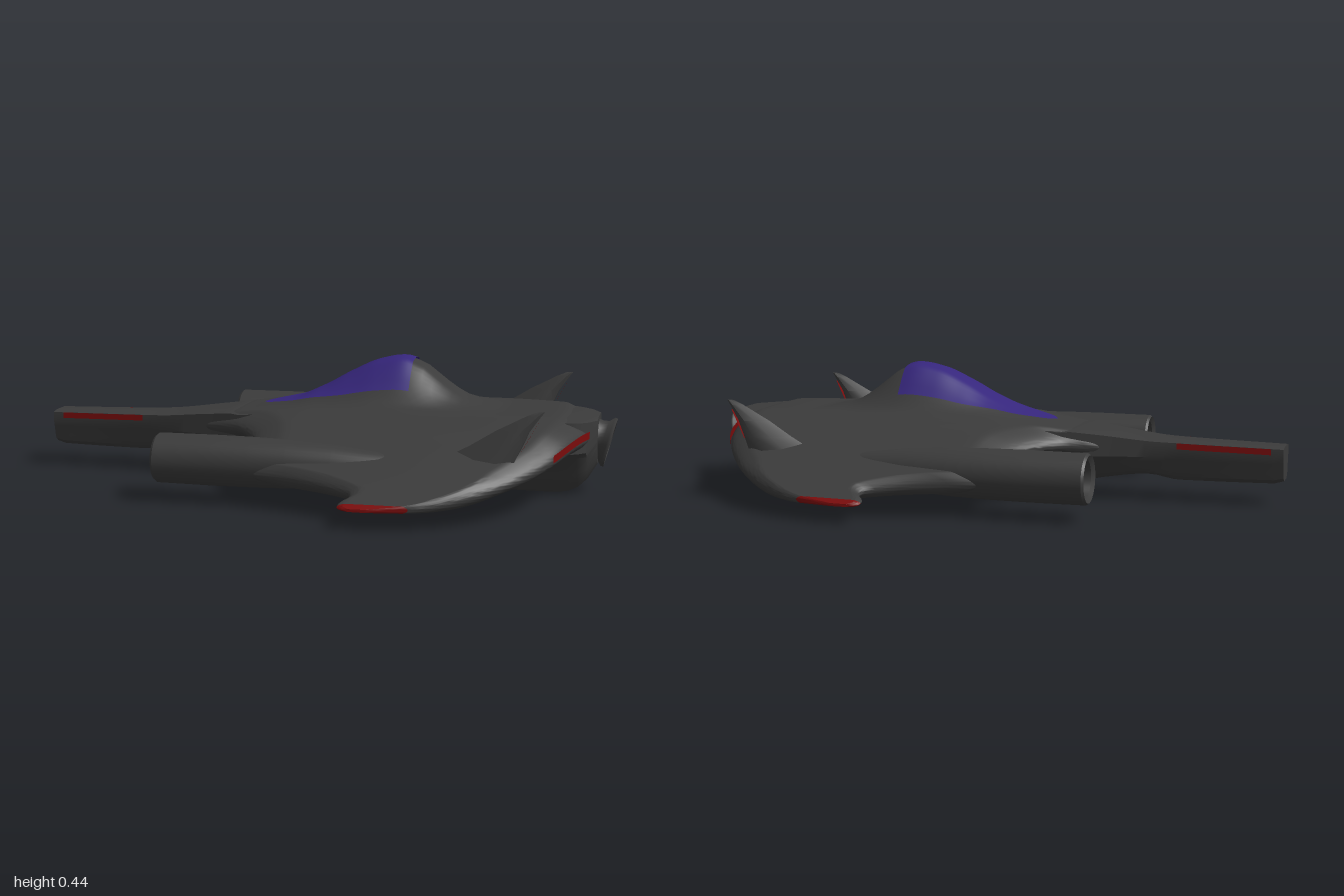
import * as THREE from 'three';
import { toCreasedNormals } from 'three/addons/utils/BufferGeometryUtils.js';

// Smooth monotone interpolation through [t, value] points
function curve(p) {
  const d = p.slice(1).map((q, i) => (q[1] - p[i][1]) / (q[0] - p[i][0]));
  const m = p.map((_, i) => {
    if (i === 0) return d[0];
    if (i === p.length - 1) return d[i - 1];
    return d[i - 1] * d[i] <= 0 ? 0 : (2 * d[i - 1] * d[i]) / (d[i - 1] + d[i]);
  });
  return (t) => {
    if (t <= p[0][0]) return p[0][1];
    for (let i = 0; i < d.length; i++) {
      if (t > p[i + 1][0]) continue;
      const h = p[i + 1][0] - p[i][0], s = (t - p[i][0]) / h, r = 1 - s;
      return (1 + 2 * s) * r * r * p[i][1] + s * r * r * h * m[i]
        + s * s * (3 - 2 * s) * p[i + 1][1] - s * s * r * h * m[i + 1];
    }
    return p[p.length - 1][1];
  };
}

// Closed, capped skin over rings of [x, y, z]; winding is set from the signed volume
function loft(rings, crease = 0.7) {
  const n = rings[0].length, idx = [], v = rings.flat();
  for (let i = 0; i < rings.length - 1; i++)
    for (let j = 0; j < n; j++) {
      const a = i * n + j, b = i * n + (j + 1) % n;
      idx.push(a, b, a + n, b, b + n, a + n);
    }
  const e = (rings.length - 1) * n;
  for (let j = 1; j < n - 1; j++) idx.push(0, j + 1, j, e, e + j, e + j + 1);
  let vol = 0;
  const [A, B, C] = [new THREE.Vector3(), new THREE.Vector3(), new THREE.Vector3()];
  for (let k = 0; k < idx.length; k += 3)
    vol += A.fromArray(v[idx[k]]).dot(B.fromArray(v[idx[k + 1]]).cross(C.fromArray(v[idx[k + 2]])));
  if (vol < 0) idx.reverse();
  const g = new THREE.BufferGeometry();
  g.setAttribute('position', new THREE.Float32BufferAttribute(v.flat(), 3));
  g.setIndex(idx);
  return toCreasedNormals(g, crease);
}

// Open sheet: f(u, v) gives [x, y, z]
function sheet(nu, nv, f) {
  const g = new THREE.PlaneGeometry(1, 1, nu, nv), p = g.attributes.position;
  for (let i = 0; i < p.count; i++) p.setXYZ(i, ...f(p.getX(i) + 0.5, p.getY(i) + 0.5));
  g.computeVertexNormals();
  return g;
}

const lerp = THREE.MathUtils.lerp;

// Height rules shared by hull, canopy and stripes
const base = curve([[-1, .2], [-.6, .21], [-.4, .23], [-.2, .25], [0, .268], [.6, .274], [.93, .265]]);
const hump = curve([[-.25, 0], [-.1, .015], [0, .052], [.1, .105], [.2, .148], [.28, .162], [.34, .145],
  [.4, .1], [.45, .06], [.5, .03], [.62, 0]]);
const humpAcross = curve([[0, 1], [.05, .95], [.09, .72], [.13, .38], [.17, .1], [.22, 0]]);
const droop = curve([[0, 0], [.15, 0], [.2, .005], [.3, .022], [.4, .06], [.5, .1], [.6, .142], [.7, .19], [.735, .207]]);
const topY = (x, z) => base(x) + hump(x) * humpAcross(Math.abs(z)) - droop(Math.abs(z));
const underY = curve([[0, .13], [.2, .135], [.35, .122], [.46, .095], [.6, .068], [.7, .055], [.735, .056]]);

// Outline of the wing seen from above
const leadX = curve([[0, -.43], [.11, -.42], [.125, -.4], [.16, -.3], [.2, -.25], [.26, -.2], [.32, -.165],
  [.38, -.145], [.46, -.13], [.535, -.12], [.56, 0], [.585, .1], [.62, .2], [.635, .235], [.66, .245],
  [.7, .22], [.72, .22], [.735, .25]]);
const trailX = curve([[0, .93], [.1, .925], [.2, .9], [.35, .85], [.5, .75], [.6, .65], [.66, .56], [.71, .45], [.735, .32]]);

// Wing section at one span station, rounded at both edges
function wingRing(z) {
  const a = Math.abs(z), x0 = leadX(a), x1 = trailX(a), n = 60, top = [], low = [];
  for (let i = 0; i <= n; i++) {
    const u = (1 - Math.cos(Math.PI * i / n)) / 2, x = lerp(x0, x1, u);
    const t = Math.sqrt(Math.min(1, u / .1, (1 - u) / .07));
    const T = topY(x, z), B = underY(a), m = (T + B) / 2;
    top.push([x, lerp(m, T, t), z]);
    if (i > 0 && i < n) low.unshift([x, lerp(m, B, t), z]);
  }
  return [...top, ...low];
}
const wing = (z0, z1, n) => loft(Array.from({ length: n + 1 }, (_, i) => wingRing(lerp(z0, z1, i / n))), 0.9);

export function createModel() {
  const model = new THREE.Group();
  const mat = (name, color, side = THREE.FrontSide) => {
    const m = new THREE.MeshStandardMaterial({ color, side });
    m.name = name;
    return m;
  };
  const hull = mat('dark grey hull', 0x3b3b3b, THREE.DoubleSide);
  const glass = mat('violet glass', 0x36267c, THREE.DoubleSide);
  const red = mat('deep red', 0x7a0c0c, THREE.DoubleSide);
  const glow = mat('exhaust red', 0x8c2e2e, THREE.DoubleSide);
  const add = (name, geo, m, parent = model) => {
    const mesh = new THREE.Mesh(geo, m);
    mesh.name = name;
    parent.add(mesh);
    return mesh;
  };

  // Blended wing with canopy hump
  add('wing', wing(-.713, .713, 110), hull);

  // Nose and keel: x, half width, shoulder height, keel half width, keel height
  const stations = [[-1, .062, .15, .046, .085], [-.97, .063, .15, .047, .076], [-.65, .08, .15, .05, .072],
    [-.55, .095, .142, .06, .088], [-.4, .125, .14, .065, .07], [-.25, .16, .135, .07, .035],
    [-.1, .18, .14, .08, .008], [0, .185, .14, .085, .002], [.8, .185, .14, .085, 0], [.86, .175, .14, .08, .008],
    [.91, .14, .14, .072, .045], [.945, .08, .17, .06, .1]];
  const at = [1, 2, 3, 4].map((k) => curve(stations.map((s) => [s[0], s[k]])));
  const bodyRings = [];
  for (let i = 0; i <= 64; i++) {
    const x = lerp(-1, .945, i / 64), [w, mid, kw, bot] = at.map((f) => f(x));
    const top = base(x) - (x > -.3 ? .006 : 0);
    const half = [[w * .55, top], [w, top - .006], [w, mid + .012], [lerp(w, kw, .3), mid - .006],
      [lerp(w, kw, .7), lerp(mid, bot, .55)], [kw, lerp(mid, bot, .82)], [kw * .65, bot]];
    bodyRings.push([...half.map(([z, y]) => [x, y, z]), ...half.reverse().map(([z, y]) => [x, y, -z])]);
  }
  add('noseAndKeel', loft(bodyRings, 0.55), hull);

  // Canopy glass laid over the hump
  const glassW = curve([[-.22, 0], [-.2, .035], [-.15, .065], [-.08, .095], [0, .118], [.1, .132], [.32, .132]]);
  add('canopy', sheet(40, 24, (u, v) => {
    const x = lerp(-.22, .32, u), z = (v * 2 - 1) * glassW(x);
    return [x, topY(x, z) + .006, z];
  }), glass);

  // Tail nozzle, tilted slightly down
  const nozzle = new THREE.Group();
  nozzle.name = 'tailNozzle';
  nozzle.position.set(.97, .17, 0);
  nozzle.rotation.z = -Math.PI / 2 - .26;
  model.add(nozzle);
  const lathe = (pts) => new THREE.LatheGeometry(pts.map((p) => new THREE.Vector2(...p)), 32);
  add('nozzleShell', lathe([[.07, -.07], [.064, -.03], [.068, -.01], [.084, .004], [.084, .014], [.072, .014],
    [.06, -.012], [0, -.014]]), hull, nozzle);
  add('nozzleGlow', new THREE.CircleGeometry(.058, 32).rotateX(-Math.PI / 2).translate(0, -.008, 0), glow, nozzle);

  for (const s of [1, -1]) {
    const side = s > 0 ? 'left' : 'right';
    // Wing tip edge
    add(side + 'WingTip', wing(.713 * s, .735 * s, 4), red);

    // Engine: open front tube fading back into the wing
    const engine = new THREE.Group();
    engine.name = side + 'Engine';
    engine.position.set(0, .135, .463 * s);
    engine.rotation.z = -Math.PI / 2;
    model.add(engine);
    add('engineTube', toCreasedNormals(lathe([[0, -.405], [.056, -.405], [.06, -.44], [.076, -.45], [.082, -.442],
      [.083, -.25], [.082, -.12], [.079, 0], [.07, .15], [.052, .3], [.028, .42], [0, .5]]), 0.6), hull, engine);
    add('engineGlow', new THREE.CircleGeometry(.042, 24).rotateX(Math.PI / 2).translate(0, -.41, 0), red, engine);

    // Tail fin: height, front x, rear x, half thickness
    const rings = [[.16, .47, .715, .058], [.22, .58, .742, .042], [.27, .66, .765, .03], [.32, .755, .8, .014],
      [.335, .79, .812, .006]].map(([y, f, r, h]) => [[f, 0], [lerp(f, r, .4), .75 * h], [lerp(f, r, .75), h],
      [r, .6 * h], [r, -.6 * h], [lerp(f, r, .75), -h], [lerp(f, r, .4), -.75 * h]]
      .map(([x, z]) => [x, y, .44 * s + z]));
    add(side + 'Fin', loft(rings, 0.8), hull);
    add(side + 'FinLight', sheet(1, 4, (u, v) => {
      const y = lerp(.21, .305, v);
      return [lerp(.738, .79, v) + .005, y, .44 * s + (u * 2 - 1) * lerp(.022, .009, v)];
    }), red);

    // Trailing edge stripe
    add(side + 'TrailingStripe', sheet(20, 1, (u, v) => {
      const z = lerp(.13, .385, u), x = trailX(z), y = (topY(x, z) + underY(z)) / 2;
      return [x + .004, y + .012 + (v - .5) * .024, z * s];
    }), red);

    // Nose side stripe
    add(side + 'NoseStripe', sheet(12, 1, (u, v) => {
      const x = lerp(-.96, -.65, u);
      return [x, lerp(base(x) - .026, base(x) - .006, v), (at[0](x) + .003) * s];
    }), red);
  }
  return model;
}
